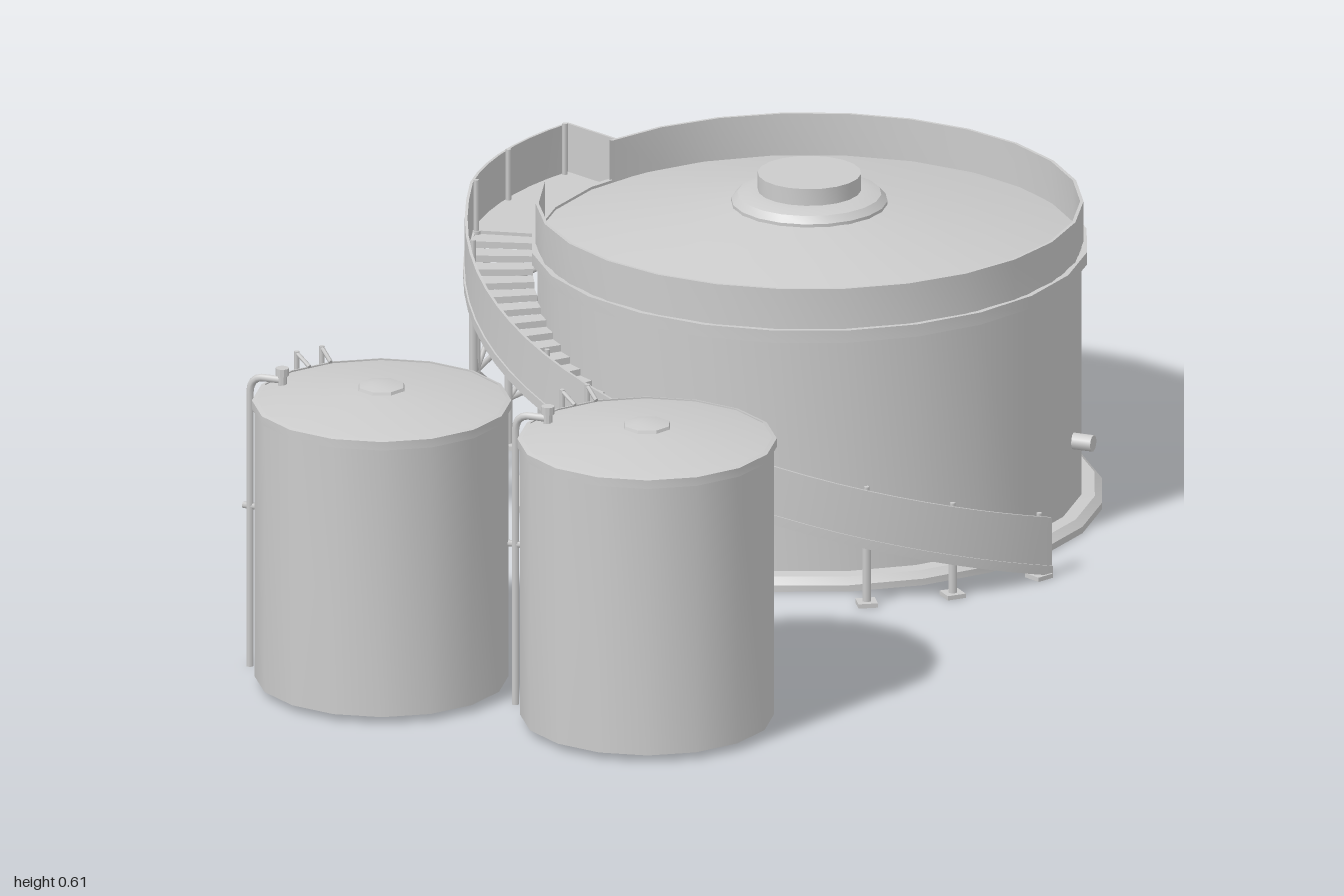
import * as THREE from 'three';
import { mergeGeometries, toCreasedNormals } from 'three/addons/utils/BufferGeometryUtils.js';

const material = new THREE.MeshStandardMaterial({ color: 0xcccccc, side: THREE.DoubleSide });
const rad = THREE.MathUtils.degToRad;
const V = (x, y, z) => new THREE.Vector3(x, y, z);

function add(parent, name, geometry, x = 0, y = 0, z = 0) {
  const mesh = new THREE.Mesh(geometry, material);
  mesh.name = name;
  mesh.position.set(x, y, z);
  parent.add(mesh);
  return mesh;
}

// Turned shape from [radius, y] pairs; from / to are plan angles measured from +x towards +z
function turned(profile, sides, from = 90, to = 450) {
  const points = profile.map(([r, y]) => new THREE.Vector2(r, y));
  const geo = new THREE.LatheGeometry(points, sides, rad(90 - to), rad(to - from));
  return toCreasedNormals(geo, rad(30));
}

// Straight round bar between two points
function bar(a, b, r, sides = 6) {
  const geo = new THREE.CylinderGeometry(r, r, a.distanceTo(b), sides);
  const turn = new THREE.Quaternion().setFromUnitVectors(V(0, 1, 0), b.clone().sub(a).normalize());
  geo.applyQuaternion(turn);
  const mid = a.clone().add(b).multiplyScalar(0.5);
  return geo.translate(mid.x, mid.y, mid.z);
}

// Point on a circle around the tank axis
const polar = (deg, r, y) => V(r * Math.cos(rad(deg)), y, r * Math.sin(rad(deg)));

// Rectangular section swept round the axis, following the height rule
function sweep(r0, r1, y0, y1, from, to, steps, height) {
  const section = [[r0, y0], [r0, y1], [r1, y1], [r1, y0]];
  const pos = [], index = [];
  for (let i = 0; i <= steps; i++) {
    const deg = from + (to - from) * i / steps;
    for (const [r, y] of section) pos.push(...polar(deg, r, y + height(deg)).toArray());
  }
  for (let i = 0; i < steps; i++) {
    for (let k = 0; k < 4; k++) {
      const a = i * 4 + k, b = i * 4 + (k + 1) % 4;
      index.push(a, b, b + 4, a, b + 4, a + 4);
    }
  }
  const e = steps * 4;
  index.push(0, 2, 1, 0, 3, 2, e, e + 1, e + 2, e, e + 2, e + 3);
  const geo = new THREE.BufferGeometry();
  geo.setAttribute('position', new THREE.Float32BufferAttribute(pos, 3));
  geo.setIndex(index);
  return toCreasedNormals(geo, rad(30));
}

// Stair runs from LOW to LANDING, then a flat landing to END
const LOW = 23, LANDING = 168, END = 203;
const FLOOR = 0.463;
const stairHeight = (deg) => 0.02 + (FLOOR - 0.02) * Math.min(1, (deg - LOW) / (LANDING - LOW));

function largeTank() {
  const tank = new THREE.Group();
  tank.name = 'largeTank';
  tank.position.set(0.02, 0, -0.478);
  add(tank, 'baseRing', turned([[0.485, 0], [0.523, 0], [0.523, 0.012], [0.51, 0.024], [0.485, 0.026]], 24));
  add(tank, 'wall', turned([[0.486, 0], [0.486, 0.48]], 24));
  add(tank, 'band', turned([[0.486, 0.457], [0.496, 0.457], [0.496, 0.48], [0.486, 0.48]], 24));
  // The parapet leaves a gap at the landing
  add(tank, 'parapet', turned([[0.486, 0.478], [0.486, 0.555], [0.48, 0.555], [0.48, 0.478]], 24, 201, 530));
  add(tank, 'roof', turned([[0.486, 0.475], [0.135, 0.553], [0.001, 0.56]], 24));
  add(tank, 'roofCollar', turned([[0.139, 0.548], [0.139, 0.558], [0.128, 0.57], [0.108, 0.576], [0.09, 0.577]], 20));
  add(tank, 'roofHatch', turned([[0.092, 0.57], [0.092, 0.608], [0, 0.608]], 20));
  const nozzle = add(tank, 'nozzle', new THREE.CylinderGeometry(0.015, 0.015, 0.04, 12), 0.495, 0.145, -0.07);
  nozzle.rotation.z = Math.PI / 2;
  return tank;
}

function spiralStair() {
  const stair = new THREE.Group();
  stair.name = 'spiralStair';
  stair.position.set(0.02, 0, -0.478);

  // Treads, each a flat slab as deep as one rise
  const count = 36, span = (LANDING - LOW) / count, treads = [];
  for (let i = 0; i < count; i++) {
    const a = LOW + i * span, y = stairHeight(a + span / 2);
    treads.push(sweep(0.49, 0.608, -0.012, 0, a, a + span, 1, () => y));
  }
  add(stair, 'treads', mergeGeometries(treads));
  add(stair, 'landing', sweep(0.48, 0.608, -0.012, 0, LANDING, END, 7, () => FLOOR));

  // Solid balustrade with a bottom stringer
  add(stair, 'balustrade', sweep(0.606, 0.611, -0.012, 0.09, LOW, END, 36, stairHeight));
  add(stair, 'stringer', sweep(0.602, 0.614, -0.018, 0.0, LOW, END, 36, stairHeight));
  const end = polar(END, 0.548, FLOOR + 0.04);
  add(stair, 'endPanel', new THREE.BoxGeometry(0.125, 0.1, 0.005), end.x, end.y, end.z).rotation.y = -rad(END);

  // Legs with foot plates and rail posts
  const legs = [201.5, 185, 168, 151, 118.5, 88, 58, 42.7, 25];
  const frame = [], feet = [], posts = [];
  for (const deg of legs) {
    const h = stairHeight(deg);
    frame.push(bar(polar(deg, 0.6, 0), polar(deg, 0.6, h), 0.008, 8));
    posts.push(bar(polar(deg, 0.6, h), polar(deg, 0.6, h + 0.095), 0.005));
    const p = polar(deg, 0.6, 0.004);
    feet.push(new THREE.BoxGeometry(0.035, 0.008, 0.035).rotateY(-rad(deg)).translate(p.x, p.y, p.z));
  }
  add(stair, 'legs', mergeGeometries(frame));
  add(stair, 'railPosts', mergeGeometries(posts));
  add(stair, 'footPlates', mergeGeometries(feet));

  // Lattice bracing between the tall legs
  const braces = [], levels = [0.09, 0.2, 0.31, 0.42];
  for (let i = 0; i < 3; i++) {
    levels.forEach((y, k) => {
      if (y > stairHeight(legs[i + 1])) return;
      braces.push(bar(polar(legs[i], 0.6, y), polar(legs[i + 1], 0.6, y), 0.005));
      if (k === 0) return;
      const [a, b] = (i + k) % 2 ? [y, levels[k - 1]] : [levels[k - 1], y];
      braces.push(bar(polar(legs[i], 0.6, a), polar(legs[i + 1], 0.6, b), 0.005));
    });
  }
  add(stair, 'bracing', mergeGeometries(braces));
  return stair;
}

function smallTank(name, x, z) {
  const tank = new THREE.Group();
  tank.name = name;
  tank.position.set(x, 0, z);
  add(tank, 'wall', turned([[0.225, 0.013], [0.225, 0.53]], 16));
  add(tank, 'rim', turned([[0.225, 0.514], [0.23, 0.514], [0.23, 0.53], [0.222, 0.532]], 16));
  add(tank, 'roof', turned([[0.226, 0.528], [0.19, 0.535], [0.06, 0.552], [0.001, 0.554]], 16));
  add(tank, 'roofHatch', turned([[0.045, 0.55], [0.042, 0.558], [0.02, 0.562], [0, 0.562]], 8));

  // Side pipe bending over the rim into a roof vent
  const path = new THREE.CurvePath();
  path.add(new THREE.LineCurve3(V(-0.252, 0, 0), V(-0.252, 0.51, 0)));
  path.add(new THREE.QuadraticBezierCurve3(V(-0.252, 0.51, 0), V(-0.252, 0.543, 0), V(-0.225, 0.543, 0)));
  path.add(new THREE.LineCurve3(V(-0.225, 0.543, 0), V(-0.19, 0.543, 0)));
  add(tank, 'sidePipe', new THREE.TubeGeometry(path, 60, 0.007, 8));
  add(tank, 'roofVent', turned([[0.008, 0.53], [0.008, 0.552], [0.012, 0.552], [0.012, 0.566], [0, 0.566]], 10)
    .translate(-0.19, 0, 0));
  add(tank, 'pipeBracket', bar(V(-0.265, 0.3, 0), V(-0.215, 0.3, 0), 0.006));

  // Ladder on the back of the tank
  const parts = [], rails = [208, 221];
  for (const deg of rails) {
    parts.push(bar(polar(deg, 0.235, 0.015), polar(deg, 0.235, 0.56), 0.005));
    parts.push(bar(polar(deg, 0.235, 0.557), polar(deg, 0.2, 0.54), 0.004));
  }
  for (let y = 0.05; y < 0.53; y += 0.03) {
    parts.push(bar(polar(rails[0], 0.235, y), polar(rails[1], 0.235, y), 0.003));
  }
  add(tank, 'ladder', mergeGeometries(parts));
  return tank;
}

export function createModel() {
  const model = new THREE.Group();
  model.name = 'storageTanks';
  model.add(largeTank(), spiralStair());
  model.add(smallTank('smallTankRight', -0.296, 0.752), smallTank('smallTankLeft', 0.219, 0.768));
  return model;
}
